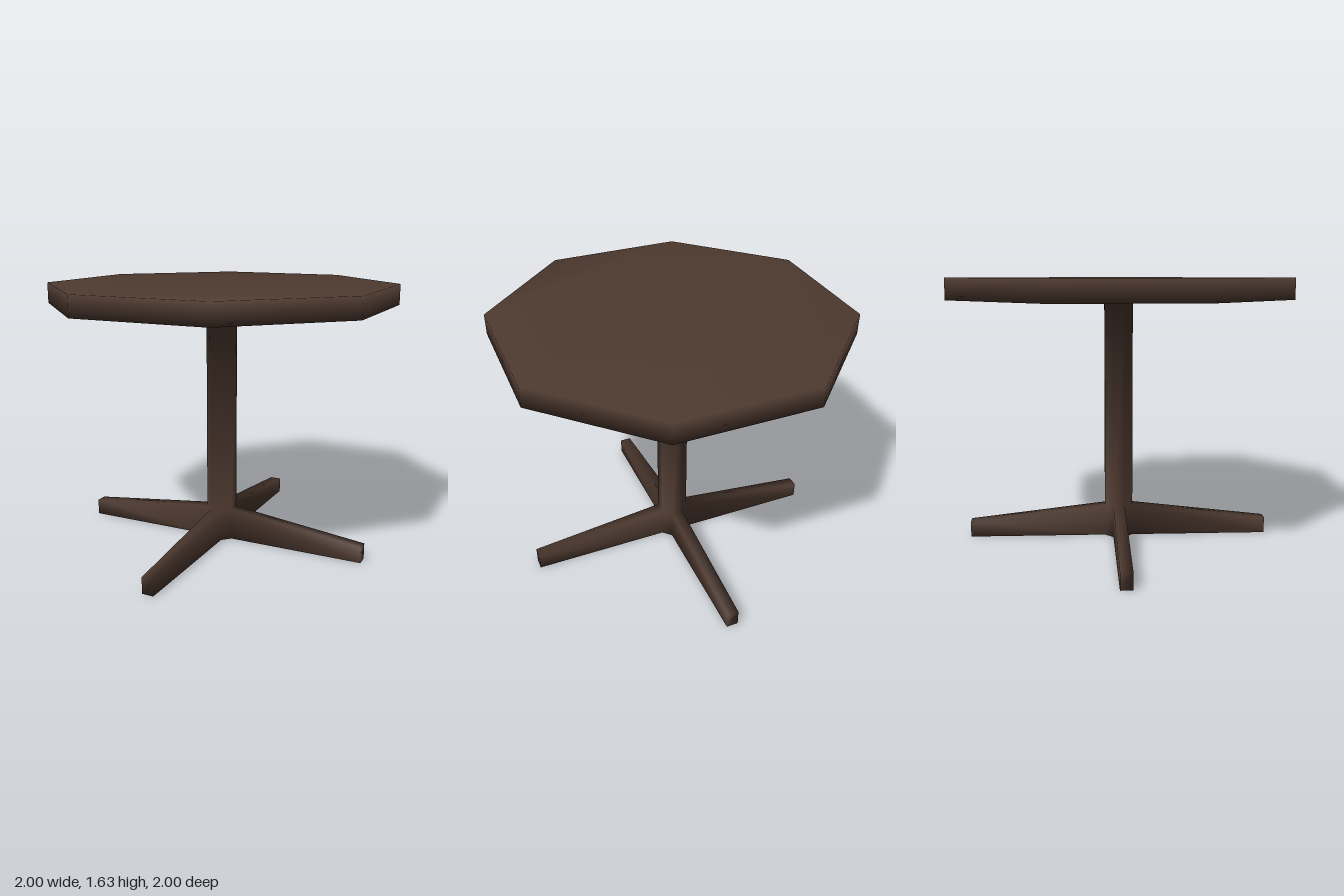
import * as THREE from 'three';

const TURN = 0.02; // the whole table is turned very slightly
const positions = [];

function point(x, y, z) {
  positions.push(x, y, z);
  return positions.length / 3 - 1;
}

// Eight corners with flat sides facing the axes
function octagon(radius, y) {
  return Array.from({ length: 8 }, (_, k) => {
    const a = TURN + (k + 0.5) * Math.PI / 4;
    return point(radius * Math.cos(a), y, radius * Math.sin(a));
  });
}

function quad(faces, a, b, c, d) {
  faces.push(a, b, c, a, c, d);
}

// Joins two octagons, optionally leaving out some sides
function band(faces, low, high, keep = () => true) {
  for (let k = 0; k < 8; k++) {
    const n = (k + 1) % 8;
    if (keep(k)) quad(faces, low[n], low[k], high[k], high[n]);
  }
}

export function createModel() {
  positions.length = 0;
  const top = [], column = [], legs = [];

  // Profile of the table from the floor upwards
  const foot = octagon(0.094, 0);
  const hub = octagon(0.094, 0.2);
  const neck = octagon(0.094, 1.51);
  const underRim = octagon(1.0735, 1.51);
  const rim = octagon(1.0735, 1.635);

  // Column, left open where the legs grow out
  band(column, foot, hub, (k) => k % 2 === 0);
  band(column, hub, neck);
  for (let k = 1; k < 7; k++) column.push(foot[0], foot[k], foot[k + 1]);

  // Tabletop: underside, edge and upper face in three strips
  band(top, neck, underRim);
  band(top, underRim, rim);
  quad(top, rim[2], rim[1], rim[0], rim[7]);
  quad(top, rim[7], rim[6], rim[3], rim[2]);
  quad(top, rim[6], rim[5], rim[4], rim[3]);

  // Four tapering legs
  for (let k = 1; k < 8; k += 2) {
    const n = (k + 1) % 8;
    const a = TURN + (k + 1) * Math.PI / 4;
    const tip = (side, y) => point(
      0.944 * Math.cos(a) - side * 0.036 * Math.sin(a), y,
      0.944 * Math.sin(a) + side * 0.036 * Math.cos(a));
    const root = [foot[n], foot[k], hub[k], hub[n]];
    const end = [tip(1, 0), tip(-1, 0), tip(-1, 0.1), tip(1, 0.1)];
    for (let i = 0; i < 4; i++) {
      const j = (i + 1) % 4;
      quad(legs, root[i], root[j], end[j], end[i]);
    }
    quad(legs, ...end);
  }

  // Smooth normals are shared across all the parts
  const whole = new THREE.BufferGeometry();
  whole.setAttribute('position', new THREE.Float32BufferAttribute(positions, 3));
  whole.setIndex([...top, ...column, ...legs]);
  whole.computeVertexNormals();

  const wood = new THREE.MeshStandardMaterial({ color: 0x4e3a30 });
  wood.name = 'dark wood';

  const table = new THREE.Group();
  table.name = 'pedestalTable';
  for (const [name, faces] of Object.entries({ tabletop: top, column, legs })) {
    const geometry = new THREE.BufferGeometry();
    geometry.setAttribute('position', whole.getAttribute('position'));
    geometry.setAttribute('normal', whole.getAttribute('normal'));
    geometry.setIndex(faces);
    const mesh = new THREE.Mesh(geometry, wood);
    mesh.name = name;
    table.add(mesh);
  }
  return table;
}
